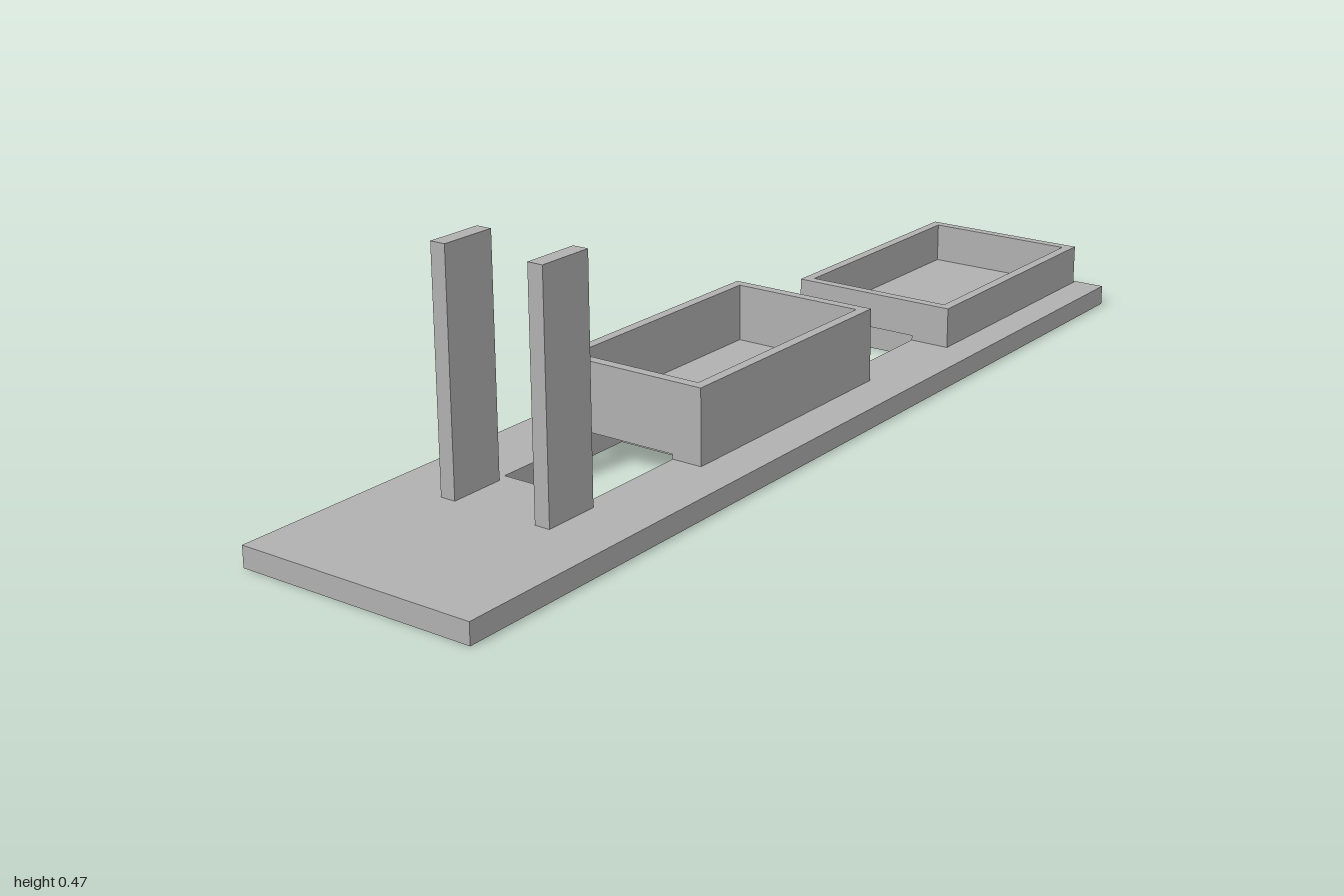
import * as THREE from 'three';

const grey = new THREE.MeshStandardMaterial({ color: 0xb0b0b0 });
grey.name = 'plain grey';

const BASE_TOP = 0.039;   // upper face of the base plate
const NOTCH_TOP = 0.048;  // the openings bite slightly into the tray bottoms
const SLOT = 0.092;       // half width of the openings
const WALL = 0.02;

// Box given by its limits on each axis
function block(parent, name, [x0, x1], [y0, y1], [z0, z1]) {
  const mesh = new THREE.Mesh(new THREE.BoxGeometry(x1 - x0, y1 - y0, z1 - z0), grey);
  mesh.position.set((x0 + x1) / 2, (y0 + y1) / 2, (z0 + z1) / 2);
  mesh.name = name;
  parent.add(mesh);
}

function polygon(points, Type = THREE.Shape) {
  return new Type(points.map(([x, y]) => new THREE.Vector2(x, y)));
}

// End wall of a tray, with a shallow notch over the opening in the base
function notchedWall(parent, name, half, top, z) {
  const shape = polygon([
    [-half, BASE_TOP], [-SLOT, BASE_TOP], [-SLOT, NOTCH_TOP], [SLOT, NOTCH_TOP],
    [SLOT, BASE_TOP], [half, BASE_TOP], [half, top], [-half, top],
  ]);
  const mesh = new THREE.Mesh(new THREE.ExtrudeGeometry(shape, { depth: WALL, bevelEnabled: false }), grey);
  mesh.position.z = z;
  mesh.name = name;
  parent.add(mesh);
}

function sideWalls(parent, half, top, z0, z1) {
  block(parent, 'rightWall', [-half, -half + WALL], [BASE_TOP, top], [z0 + WALL, z1 - WALL]);
  block(parent, 'leftWall', [half - WALL, half], [BASE_TOP, top], [z0 + WALL, z1 - WALL]);
}

export function createModel() {
  const model = new THREE.Group();
  model.name = 'trayStand';

  // Base plate with two rectangular openings (drawn in x and -z, laid flat)
  const plate = polygon([[-0.235, -1], [0.235, -1], [0.235, 1], [-0.235, 1]]);
  const slots = [[0.232, 0.547], [-0.47, -0.152]];
  for (const [z0, z1] of slots) {
    plate.holes.push(polygon([[-SLOT, -z1], [-SLOT, -z0], [SLOT, -z0], [SLOT, -z1]], THREE.Path));
  }
  const baseGeometry = new THREE.ExtrudeGeometry(plate, { depth: BASE_TOP, bevelEnabled: false });
  baseGeometry.rotateX(-Math.PI / 2);
  const base = new THREE.Mesh(baseGeometry, grey);
  base.name = 'basePlate';
  model.add(base);

  // Pair of upright posts
  for (const side of [-1, 1]) {
    const x = side * 0.1;
    block(model, side < 0 ? 'rightPost' : 'leftPost', [x - 0.015, x + 0.015], [BASE_TOP, 0.474], [0.568, 0.678]);
  }

  // Middle tray: deep, with a raised floor recessed over both openings
  const middle = new THREE.Group();
  middle.name = 'middleTray';
  const mHalf = 0.152, mTop = 0.18, mBack = -0.208, mFront = 0.325;
  sideWalls(middle, mHalf, mTop, mBack, mFront);
  notchedWall(middle, 'backWall', mHalf, mTop, mBack);
  notchedWall(middle, 'frontWall', mHalf, mTop, mFront - WALL);
  const inner = mHalf - WALL, span = [mBack + WALL, mFront - WALL];
  block(middle, 'floor', [-inner, inner], [NOTCH_TOP, 0.07], span);
  block(middle, 'floorFoot', [-SLOT, SLOT], [BASE_TOP, NOTCH_TOP], [-0.152, 0.232]);
  block(middle, 'rightFloorFoot', [-inner, -SLOT], [BASE_TOP, NOTCH_TOP], span);
  block(middle, 'leftFloorFoot', [SLOT, inner], [BASE_TOP, NOTCH_TOP], span);
  model.add(middle);

  // Rear tray: shallow, the base plate is its floor
  const rear = new THREE.Group();
  rear.name = 'rearTray';
  const rHalf = 0.172, rTop = 0.118, rBack = -0.99, rFront = -0.458;
  sideWalls(rear, rHalf, rTop, rBack, rFront);
  block(rear, 'backWall', [-rHalf, rHalf], [BASE_TOP, rTop], [rBack, rBack + WALL]);
  notchedWall(rear, 'frontWall', rHalf, rTop, rFront - WALL);
  block(rear, 'frontWallFoot', [-SLOT, SLOT], [BASE_TOP, NOTCH_TOP], [rFront - WALL, -0.47]);
  model.add(rear);

  return model;
}
